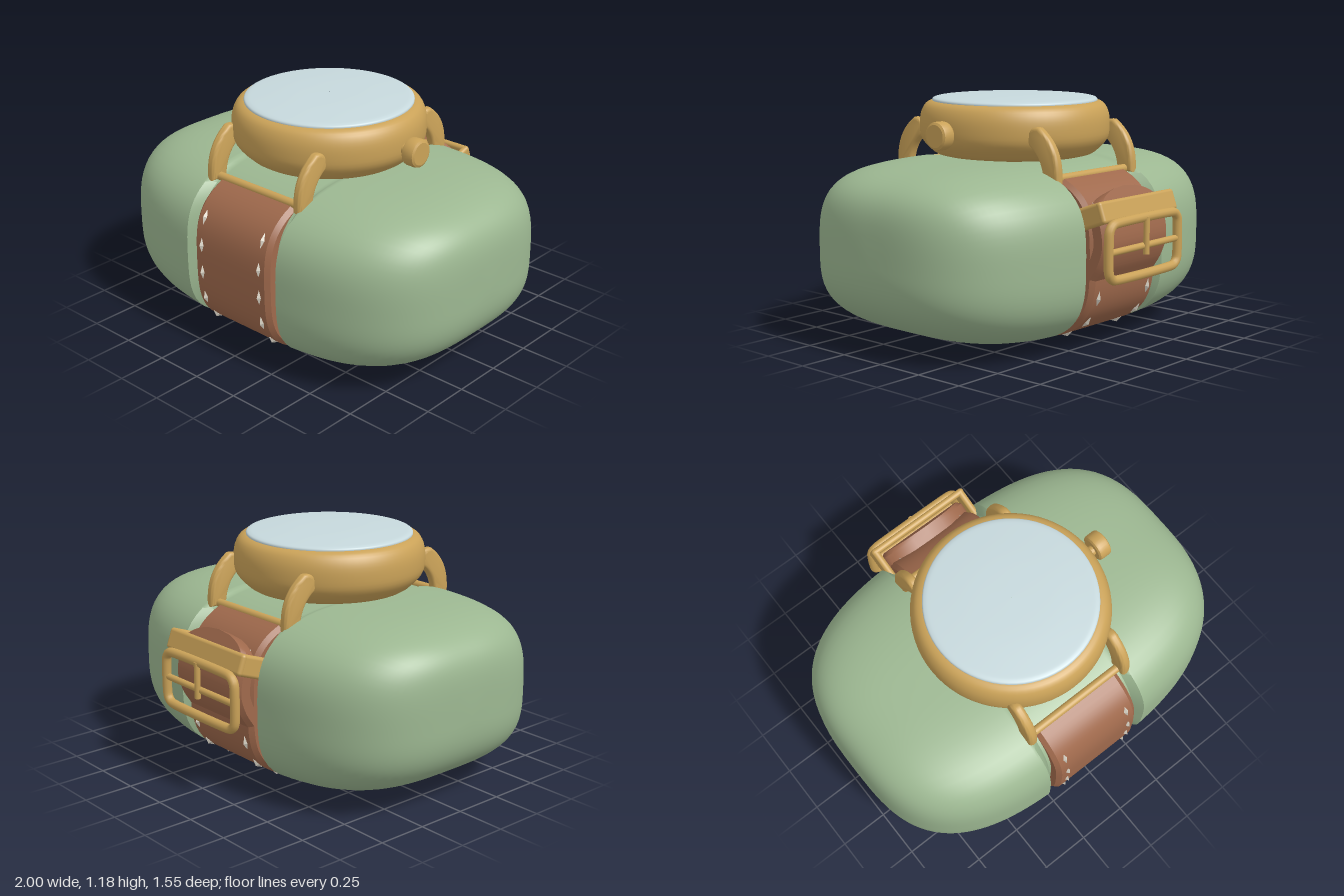
import * as THREE from 'three';
import { mergeGeometries, toCreasedNormals } from 'three/addons/utils/BufferGeometryUtils.js';
import { RoundedBoxGeometry } from 'three/addons/geometries/RoundedBoxGeometry.js';

const V = (x, y, z) => new THREE.Vector3(x, y, z);
const paint = (name, color) => Object.assign(new THREE.MeshStandardMaterial({ color }), { name });
const CY = 0.45, CZ = 0.06;      // cushion centre
const CASE_Z = 0.065;            // watch case centre

// Skin a list of closed cross-section loops
function skin(rows, crease = 0.6) {
  const n = rows[0].length, index = [];
  for (let i = 0; i < rows.length - 1; i++) {
    for (let j = 0; j < n; j++) {
      const k = (j + 1) % n;
      const a = i * n + j, b = a + n, c = (i + 1) * n + k, d = i * n + k;
      index.push(a, b, c, a, c, d);
    }
  }
  const geo = new THREE.BufferGeometry().setFromPoints(rows.flat());
  geo.setIndex(index);
  return toCreasedNormals(geo, crease);
}

// Point on the rounded-square side profile of the cushion
function profile(x, angle, a, bTop, bBottom) {
  const n = 3.25, c = Math.cos(angle), s = Math.sin(angle);
  const r = (Math.abs(c) ** n + Math.abs(s) ** n) ** (-1 / n);
  return V(x, CY + s * r * (s > 0 ? bTop : bBottom), CZ + c * r * a);
}

// Cushion, with a groove in the middle for the strap
function cushionGeometry() {
  const half = [0, 0.12, 0.25, 0.265, 0.282, 0.298, 0.31];
  for (let i = 1; i <= 28; i++) half.push(0.31 + 0.69 * Math.sin((i / 28) * Math.PI / 2));
  const xs = [...half.slice(1).reverse().map((x) => -x), ...half];
  const fall = (x, n) => Math.max(0, 1 - Math.abs(x) ** n) ** (1 / n);
  return skin(xs.map((x) => {
    const groove = 1 - THREE.MathUtils.clamp((Math.abs(x) - 0.265) / 0.033, 0, 1);
    const a = 0.705 * fall(x, 3.1) - 0.06 * groove;
    const top = 0.437 * fall(x, 4.8) - 0.01 * groove;
    const bottom = 0.432 * fall(x, 2.9) - 0.07 * groove;
    return Array.from({ length: 80 }, (_, j) => profile(x, (j / 80) * Math.PI * 2, a, top, bottom));
  }), 0.8);
}

// Outward direction of a path lying in the side plane
const outward = (t) => V(0, t.z, -t.y).normalize();

// Leather band swept along a path; width(t) scales it
function bandGeometry(curve, steps, thick, width = () => 1) {
  const section = [[-0.25, -thick], [-0.25, -0.02], [-0.228, 0], [0.228, 0], [0.25, -0.02], [0.25, -thick]];
  const row = (t, w) => {
    const p = curve.getPointAt(t), o = outward(curve.getTangentAt(t));
    return section.map(([x, d]) => p.clone().addScaledVector(o, d).setX(x * w));
  };
  const rows = [row(0, 0)];
  for (let i = 0; i <= steps; i++) rows.push(row(i / steps, width(i / steps)));
  rows.push(row(1, 0));
  return skin(rows, 0.5);
}

// Diamond stitches in two lines along a path
function stitchGeometry(curve) {
  const parts = [], count = Math.round(curve.getLength() / 0.143);
  for (let i = 1; i < count - 1; i++) {
    const t = (i + 0.52) / count;
    const p = curve.getPointAt(t), tan = curve.getTangentAt(t);
    for (const x of [-0.192, 0.192]) {
      const frame = new THREE.Matrix4().makeBasis(V(1, 0, 0), tan, V(1, 0, 0).cross(tan).normalize());
      parts.push(new THREE.OctahedronGeometry(1).scale(0.012, 0.038, 0.016)
        .applyMatrix4(frame.setPosition(x, p.y, p.z)));
    }
  }
  return mergeGeometries(parts);
}

// Rounded lug, drawn from the side, measured outward from the case centre
function lugGeometry() {
  const s = new THREE.Shape();
  s.moveTo(0.522, 0.822);
  s.bezierCurveTo(0.525, 0.93, 0.485, 0.995, 0.412, 1.045);
  s.bezierCurveTo(0.375, 1.05, 0.355, 1.02, 0.37, 0.985);
  s.bezierCurveTo(0.42, 0.95, 0.455, 0.9, 0.462, 0.822);
  s.closePath();
  const geo = new THREE.ExtrudeGeometry(s, {
    depth: 0.014, bevelThickness: 0.018, bevelSize: 0.017, bevelSegments: 4, curveSegments: 10,
  });
  return toCreasedNormals(geo.translate(0, 0, -0.007), 0.8);
}

export function createModel() {
  const model = new THREE.Group();
  const green = paint('cushion green', 0x9cb791);
  const gold = paint('gold metal', 0xcaa258);
  const leather = paint('brown leather', 0x9f694c);
  const glass = paint('pale glass', 0xc6d8dc);
  const thread = paint('pale thread', 0xdcd6c8);

  function add(name, geo, mat, x = 0, y = 0, z = 0, parent = model) {
    const mesh = new THREE.Mesh(geo, mat);
    mesh.name = name;
    mesh.position.set(x, y, z);
    parent.add(mesh);
    return mesh;
  }
  const lathe = (pts) => new THREE.LatheGeometry(
    new THREE.SplineCurve(pts.map(([r, y]) => new THREE.Vector2(r, y))).getPoints(28), 72);
  const rod = (r, length) => new THREE.CylinderGeometry(r, r, length, 20);

  add('cushion', cushionGeometry(), green);

  // Strap from the front lugs, under the cushion, to the back lugs
  const loop = [];
  for (let i = 0; i <= 80; i++) {
    loop.push(profile(0, 0.88 - (i / 80) * (Math.PI + 1.76), 0.702, 0.425, 0.43));
  }
  const strapPath = new THREE.CatmullRomCurve3(loop);
  add('strap', bandGeometry(strapPath, 100, 0.08), leather);
  add('strapStitches', stitchGeometry(strapPath), thread);

  // Strap tail with a rounded tip
  const tailPath = new THREE.CatmullRomCurve3([
    V(0, 0.35, -0.635), V(0, 0.43, -0.685), V(0, 0.52, -0.713),
    V(0, 0.61, -0.704), V(0, 0.70, -0.672), V(0, 0.785, -0.627)]);
  const tip = (t) => (t < 0.75 ? 1 : Math.sqrt(Math.max(0, 1 - ((t - 0.75) / 0.25) ** 2)));
  add('strapTail', bandGeometry(tailPath, 60, 0.07, tip), leather);

  // Watch case and glass
  add('watchCase', lathe([[0.001, 0.875], [0.2, 0.876], [0.37, 0.885], [0.43, 0.92], [0.47, 0.97],
    [0.478, 1.03], [0.472, 1.09], [0.45, 1.135], [0.415, 1.153], [0.38, 1.15]]), gold, 0, 0, CASE_Z);
  add('watchGlass', lathe([[0.412, 1.14], [0.415, 1.158], [0.402, 1.168], [0.36, 1.173],
    [0.2, 1.182], [0.001, 1.185]]), glass, 0, 0, CASE_Z);

  // Winding crown
  add('crownStem', rod(0.026, 0.1), gold, 0.48, 1.015, CASE_Z).rotation.z = Math.PI / 2;
  const knob = new THREE.LatheGeometry([[0, -0.036], [0.055, -0.036], [0.066, -0.03], [0.069, -0.02],
    [0.069, 0.02], [0.066, 0.03], [0.055, 0.036], [0, 0.036]].map((p) => new THREE.Vector2(...p)), 32);
  add('crown', toCreasedNormals(knob, 0.5), gold, 0.54, 1.013, CASE_Z - 0.005).rotation.z = -Math.PI / 2;

  // Lugs and spring bars, front and back
  const lug = lugGeometry();
  for (const side of [1, -1]) {
    const where = side > 0 ? 'front' : 'back';
    for (const x of [-0.285, 0.285]) {
      add(where + 'Lug', lug, gold, x, 0, CASE_Z).rotation.y = -side * Math.PI / 2;
    }
    add(where + 'SpringBar', rod(0.021, 0.57), gold, 0, 0.822, CASE_Z + side * 0.493).rotation.z = Math.PI / 2;
  }

  // Metal keeper around the strap
  const keeper = new THREE.Group();
  keeper.name = 'keeper';
  keeper.position.set(0, 0.69, -0.70);
  keeper.rotation.x = 0.35;
  model.add(keeper);
  add('keeperPlate', new RoundedBoxGeometry(0.58, 0.105, 0.034, 4, 0.016), gold, 0, 0, -0.008, keeper);
  for (const x of [-0.271, 0.271]) {
    add('keeperArm', new RoundedBoxGeometry(0.036, 0.105, 0.22, 4, 0.017), gold, x, 0, 0.087, keeper);
  }

  // Buckle frame with crossbar and pin
  const corners = [];
  for (let q = 0; q < 4; q++) {
    const sx = q === 0 || q === 3 ? 1 : -1, sy = q < 2 ? 1 : -1;
    for (let i = 0; i <= 4; i++) {
      const a = (q + i / 4) * Math.PI / 2;
      corners.push(V(sx * 0.22 + 0.05 * Math.cos(a), sy * 0.082 + 0.05 * Math.sin(a), 0));
    }
  }
  const frame = new THREE.CatmullRomCurve3(corners, true, 'centripetal');
  add('buckleFrame', new THREE.TubeGeometry(frame, 120, 0.023, 12, true), gold, 0, 0.51, -0.749);
  add('buckleCrossbar', rod(0.016, 0.53), gold, 0, 0.51, -0.749).rotation.z = Math.PI / 2;
  add('bucklePin', rod(0.015, 0.18), gold, 0, 0.56, -0.762);

  return model;
}
